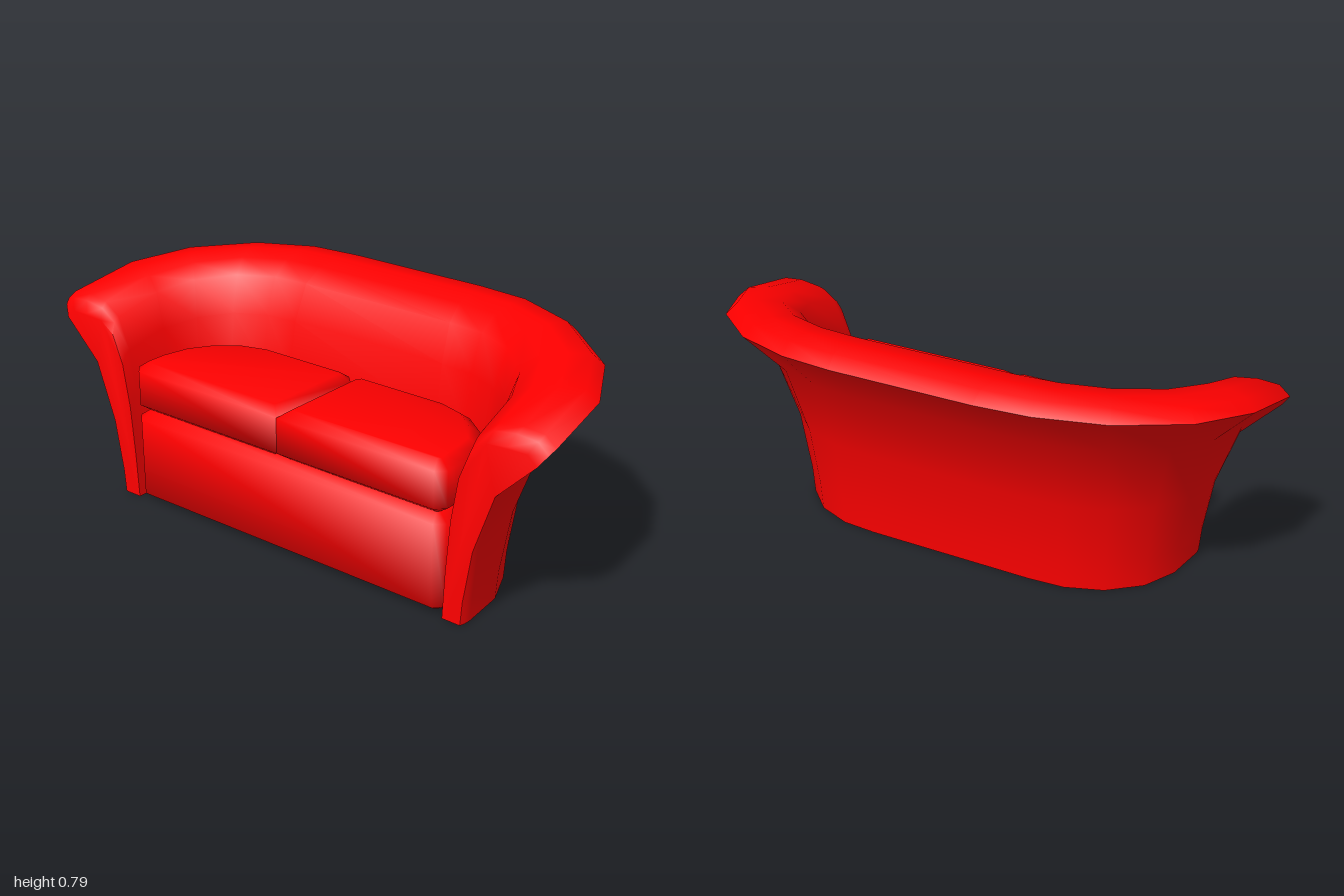
import * as THREE from 'three';
import { toCreasedNormals } from 'three/addons/utils/BufferGeometryUtils.js';

const material = new THREE.MeshStandardMaterial({ color: 0xff0000 });
const shellMaterial = new THREE.MeshStandardMaterial({ color: 0xff0000, side: THREE.DoubleSide });

// Wall cross-section: [reach from inner foot (0) to rim tip (1), fraction of top height]
const PROFILE = [
  [0, 0], [0.216, 0], [0.238, 0.13], [0.335, 0.415], [0.565, 0.735], [1, 0.945],
  [0.89, 0.992], [0.68, 1], [0.45, 0.983], [0.28, 0.925], [0.15, 0.765], [0.07, 0.53], [0.025, 0.25],
];

// Half of the sweep, arm front to back: [inner x, inner z, tip x, tip z, top height]
const HALF = [
  [0.655, 0.385, 0.965, 0.385, 0.637],
  [0.655, 0.367, 0.99, 0.367, 0.675],
  [0.655, 0.345, 1, 0.345, 0.692],
  [0.643, 0.214, 0.977, 0.08, 0.74],
  [0.605, 0.112, 0.87, -0.13, 0.765],
  [0.53, 0.036, 0.67, -0.295, 0.782],
  [0.43, -0.005, 0.45, -0.375, 0.79],
  [0.32, -0.012, 0.26, -0.392, 0.79],
];

// Flared back and arms as one swept wall with closed ends
function wallGeometry() {
  const mirrored = HALF.map(([ix, iz, tx, tz, h]) => [-ix, iz, -tx, tz, h]).reverse();
  const stations = [...HALF, ...mirrored];
  const n = PROFILE.length;
  const positions = [];
  const index = [];
  for (const [ix, iz, tx, tz, h] of stations) {
    for (const [t, y] of PROFILE) {
      positions.push(ix + (tx - ix) * t, y * h, iz + (tz - iz) * t);
    }
  }
  for (let s = 0; s < stations.length - 1; s++) {
    for (let p = 0; p < n; p++) {
      const q = (p + 1) % n;
      const a = s * n + p, b = s * n + q, c = a + n, d = b + n;
      index.push(a, c, b, b, c, d);
    }
  }
  // Arm fronts
  const outline = PROFILE.map(([t, y]) => new THREE.Vector2(t, y));
  const last = (stations.length - 1) * n;
  for (const [a, b, c] of THREE.ShapeUtils.triangulateShape(outline, [])) {
    index.push(a, b, c, last + a, last + c, last + b);
  }
  const geometry = new THREE.BufferGeometry();
  geometry.setAttribute('position', new THREE.Float32BufferAttribute(positions, 3));
  geometry.setIndex(index);
  return toCreasedNormals(geometry, 1.05);
}

// Softly chamfered slab from a plan outline in x and z
function slabGeometry(plan, bottom, top) {
  const chamfer = 0.026, inset = 0.036;
  const shape = new THREE.Shape(plan.map(([x, z]) => new THREE.Vector2(x, z)));
  const geometry = new THREE.ExtrudeGeometry(shape, {
    depth: top - bottom - 2 * chamfer,
    bevelThickness: chamfer, bevelSize: inset, bevelOffset: -inset, bevelSegments: 1,
  });
  geometry.rotateX(Math.PI / 2);
  geometry.translate(0, top - chamfer, 0);
  geometry.deleteAttribute('uv');
  return geometry;
}

// Removes the floor triangles, leaving a shell that is open underneath
function openBottom(geometry) {
  const source = geometry.getAttribute('position').array;
  const kept = [];
  for (let i = 0; i < source.length; i += 9) {
    const highest = Math.max(source[i + 1], source[i + 4], source[i + 7]);
    if (highest > 0.001) kept.push(...source.slice(i, i + 9));
  }
  const shell = new THREE.BufferGeometry();
  shell.setAttribute('position', new THREE.Float32BufferAttribute(kept, 3));
  return shell;
}

export function createModel() {
  const group = new THREE.Group();
  group.name = 'sofa';

  const add = (name, geometry, mat = material) => {
    const mesh = new THREE.Mesh(geometry, mat);
    mesh.name = name;
    group.add(mesh);
  };

  add('backAndArms', wallGeometry());

  // Rounded side of the seat plan, front to back
  const side = [
    [0.618, 0.39], [0.648, 0.36], [0.648, 0.27], [0.625, 0.165],
    [0.57, 0.08], [0.48, 0.01], [0.38, -0.02],
  ];
  const mirror = (points) => points.map(([x, z]) => [-x, z]).reverse();

  const base = openBottom(slabGeometry([...side, ...mirror(side)], 0, 0.336));
  add('seatBase', toCreasedNormals(base, 2), shellMaterial);

  // Two seat cushions meeting in the middle
  const cushion = [...side, [0.034, -0.02], [0.001, 0.013], [0.001, 0.39]];
  add('leftCushion', toCreasedNormals(slabGeometry(cushion, 0.336, 0.512), 2));
  add('rightCushion', toCreasedNormals(slabGeometry(mirror(cushion), 0.336, 0.512), 2));

  return group;
}
